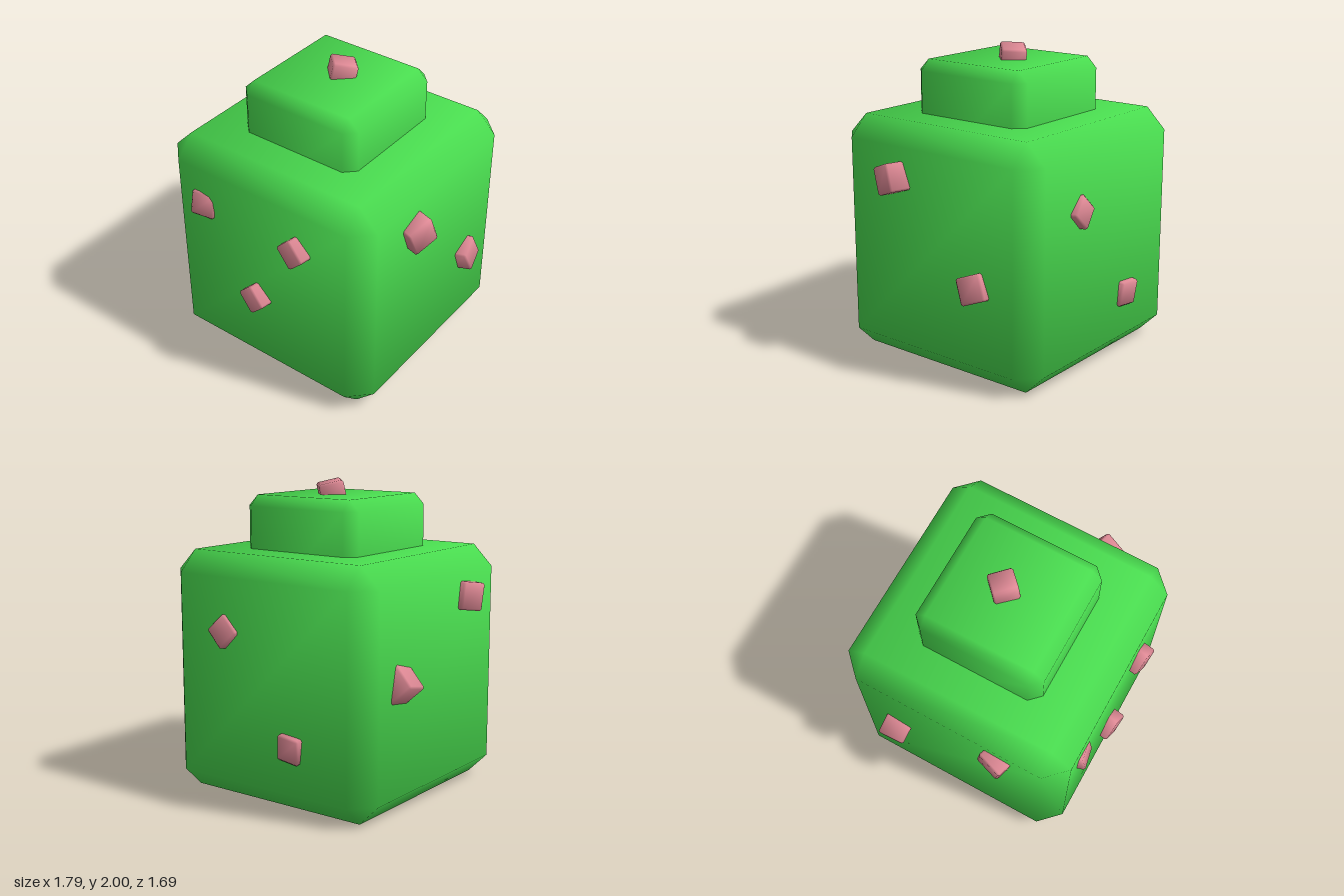
import * as THREE from 'three';
import { ConvexGeometry } from 'three/addons/geometries/ConvexGeometry.js';

// Cube with one chamfer along every edge and softly blended normals.
function chamferedCube(size, bevel) {
  const h = size / 2, k = h - bevel, points = [];
  for (const x of [-1, 1]) for (const y of [-1, 1]) for (const z of [-1, 1]) {
    points.push(
      new THREE.Vector3(x * h, y * k, z * k),
      new THREE.Vector3(x * k, y * h, z * k),
      new THREE.Vector3(x * k, y * k, z * h));
  }
  const geometry = new ConvexGeometry(points);
  const position = geometry.attributes.position, normal = geometry.attributes.normal;
  const lean = (c) => Math.sign(c) * (Math.abs(c) > h - bevel / 2 ? 1 : 0.43);
  const n = new THREE.Vector3();
  for (let i = 0; i < position.count; i++) {
    n.set(lean(position.getX(i)), lean(position.getY(i)), lean(position.getZ(i))).normalize();
    normal.setXYZ(i, n.x, n.y, n.z);
  }
  return geometry;
}

export function createModel() {
  const model = new THREE.Group();
  model.name = 'studdedBlock';
  const green = new THREE.MeshStandardMaterial({ color: 0x4ade50 });
  const pink = new THREE.MeshStandardMaterial({ color: 0xe08a96 });

  function add(name, geometry, material, x, y, z) {
    const mesh = new THREE.Mesh(geometry, material);
    mesh.name = name;
    mesh.position.set(x, y, z);
    model.add(mesh);
  }

  // Large body and the smaller block sunk into its top
  add('body', chamferedCube(1.56, 0.135), green, -0.01, 0.78, -0.02);
  add('topBlock', chamferedCube(0.86, 0.07), green, -0.01, 1.47, -0.02);

  // Tilted studs: the signed reach is how far the outermost point lies along the axis.
  // The Euler order spins each stud about its own axis before tilting it.
  const order = { x: 'ZYX', y: 'ZXY', z: 'XYZ' };
  function stud(name, axis, reach, centre, size, tilt) {
    const geometry = chamferedCube(size, 0.012);
    geometry.applyMatrix4(new THREE.Matrix4().makeRotationFromEuler(
      new THREE.Euler(...tilt, order[axis])));
    geometry.computeBoundingBox();
    const p = new THREE.Vector3(...centre);
    p[axis] = reach - Math.sign(reach) * geometry.boundingBox.max[axis];
    add(name, geometry, pink, p.x, p.y, p.z);
  }

  const q = Math.PI / 4;
  stud('topStud', 'y', 2.0, [0, 0, -0.06], 0.16, [-0.2, 0.75, -0.12]);
  stud('frontStudLeft', 'z', 0.84, [0.275, 1.15, 0], 0.16, [0, -0.15, q]);
  stud('frontStudLow', 'z', 0.84, [-0.05, 0.625, 0], 0.16, [0, -0.15, q]);
  stud('frontStudRight', 'z', 0.81, [-0.475, 1.16, 0], 0.165, [-0.2, 0.2, 0]);
  stud('leftStudHigh', 'x', 0.895, [0, 1.225, 0.25], 0.18, [0.35, -0.3, 0]);
  stud('leftStudLow', 'x', 0.86, [0, 0.64, -0.38], 0.17, [0.4, 0.15, 0.2]);
  stud('rightStudHigh', 'x', -0.88, [0, 1.27, 0.32], 0.18, [0.15, -0.3, 0]);
  stud('rightStudLow', 'x', -0.9, [0, 0.83, -0.43], 0.18, [0.2, -0.1, q]);
  stud('backStudHigh', 'z', -0.85, [0.28, 1.08, 0], 0.16, [0.15, 0.06, q]);
  stud('backStudLow', 'z', -0.845, [-0.24, 0.43, 0], 0.165, [-0.1, -0.06, 0.1]);

  return model;
}
